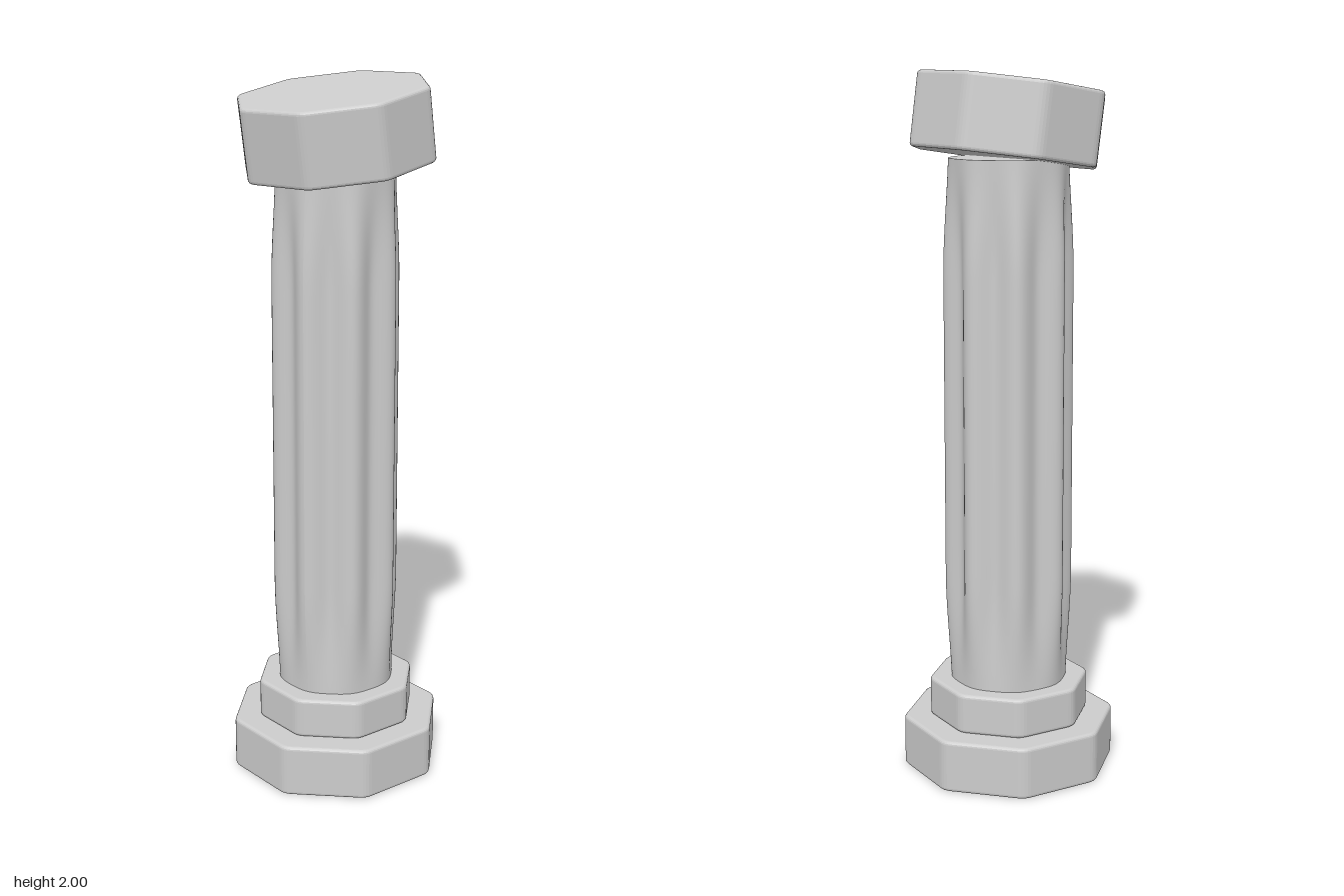
import * as THREE from 'three';

// Octagonal block with softened corners and bevelled rims, centred on its own origin
function octagonBlock(radius, height, bevel = 0.01) {
  const corner = 0.02;
  const points = [];
  for (let i = 0; i < 8; i++) {
    const a = (i * Math.PI) / 4;
    points.push(new THREE.Vector2(Math.cos(a), Math.sin(a)).multiplyScalar(radius));
  }
  const towards = (from, to) => to.clone().sub(from).setLength(corner).add(from);
  const shape = new THREE.Shape();
  points.forEach((p, i) => {
    const start = towards(p, points[(i + 7) % 8]);
    const end = towards(p, points[(i + 1) % 8]);
    if (i === 0) shape.moveTo(start.x, start.y);
    else shape.lineTo(start.x, start.y);
    shape.quadraticCurveTo(p.x, p.y, end.x, end.y);
  });
  shape.closePath();
  const geometry = new THREE.ExtrudeGeometry(shape, {
    depth: height - 2 * bevel,
    bevelSize: bevel,
    bevelThickness: bevel,
    bevelOffset: -bevel,
    bevelSegments: 4,
    curveSegments: 4,
  });
  geometry.translate(0, 0, bevel - height / 2);
  geometry.rotateX(-Math.PI / 2);
  return geometry;
}

// Round column whose eight flutes swell in from both ends
function flutedShaft(bottom, top) {
  const height = top - bottom;
  const geometry = new THREE.CylinderGeometry(1, 1, height, 128, 48);
  const position = geometry.attributes.position;
  for (let i = 0; i < position.count; i++) {
    const x = position.getX(i);
    const z = position.getZ(i);
    const fromEnd = height / 2 - Math.abs(position.getY(i));
    const fade = THREE.MathUtils.smoothstep(fromEnd, -0.08, 0.32);
    const radius = 0.166 + fade * (0.003 + 0.015 * Math.cos(8 * Math.atan2(x, z)));
    position.setX(i, x * radius);
    position.setZ(i, z * radius);
  }
  geometry.computeVertexNormals();
  geometry.translate(0, bottom + height / 2, 0);
  return geometry;
}

export function createModel() {
  const stone = new THREE.MeshStandardMaterial({ color: 0xcccccc });
  stone.name = 'pale grey stone';
  const model = new THREE.Group();
  model.name = 'column';

  const add = (name, geometry, y = 0) => {
    const mesh = new THREE.Mesh(geometry, stone);
    mesh.name = name;
    mesh.position.y = y;
    model.add(mesh);
    return mesh;
  };

  add('plinth', octagonBlock(0.311, 0.15), 0.075);
  add('baseStep', octagonBlock(0.234, 0.115), 0.2075);
  add('shaft', flutedShaft(0.26, 1.765));

  // Capital sits crooked: twisted and tipped towards the front
  const capital = add('capital', octagonBlock(0.276, 0.205), 1.865);
  const rad = THREE.MathUtils.degToRad;
  capital.rotation.set(rad(7.8), rad(11), rad(2.5), 'XZY');

  return model;
}
